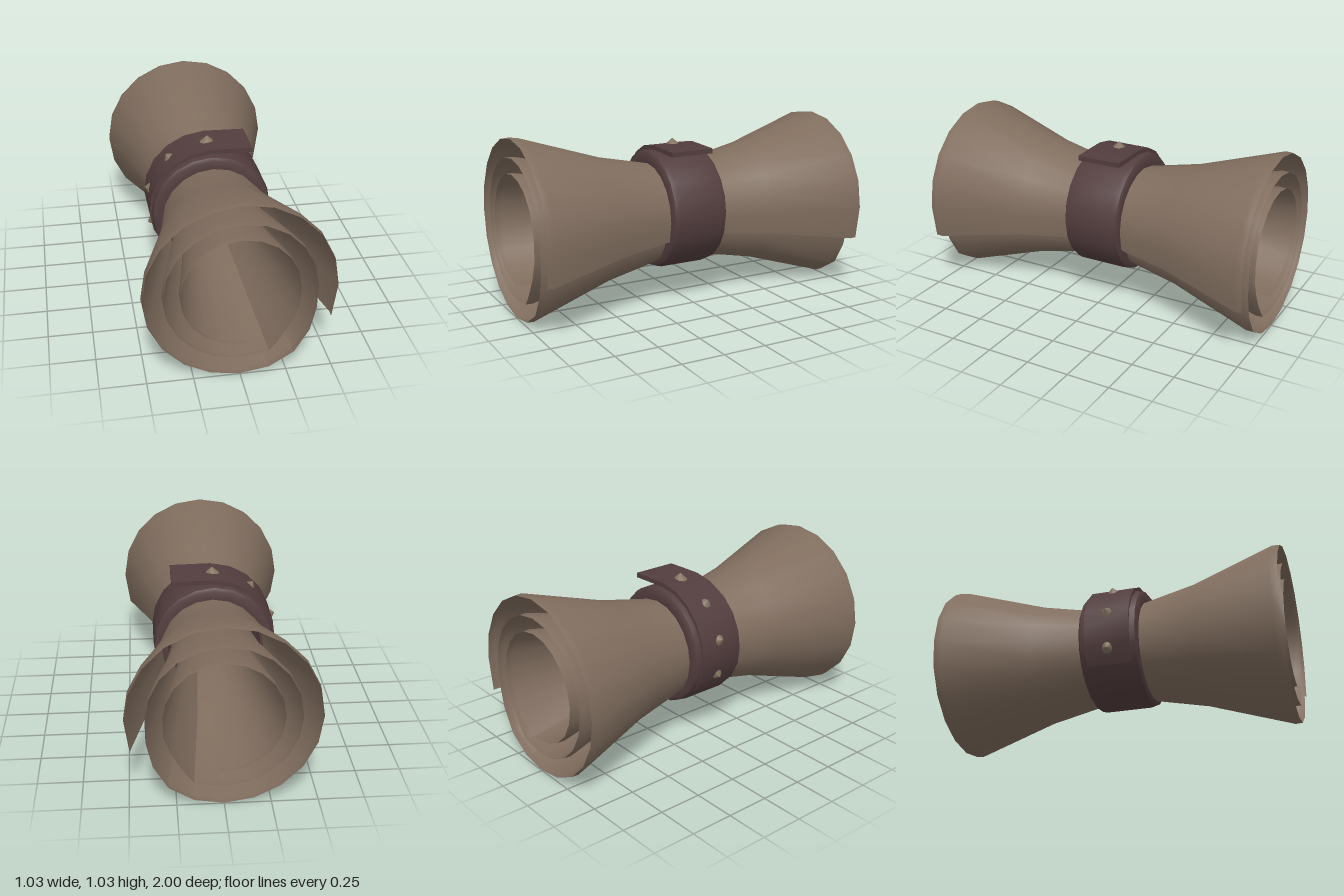
import * as THREE from 'three';
import { toCreasedNormals } from 'three/addons/utils/BufferGeometryUtils.js';

const hide = new THREE.MeshStandardMaterial({ color: 0x806d5e, side: THREE.DoubleSide });
hide.name = 'tan hide';
const leather = new THREE.MeshStandardMaterial({ color: 0x533d3e, side: THREE.DoubleSide });
leather.name = 'dark leather';
const metal = new THREE.MeshStandardMaterial({ color: 0x82725f });
metal.name = 'dull stud';

const rad = THREE.MathUtils.degToRad;

function addMesh(parent, name, geometry, material) {
  const mesh = new THREE.Mesh(geometry, material);
  mesh.name = name;
  parent.add(mesh);
  return mesh;
}

// Spiral cross-section of the rolled sheet: [angle in degrees, radius]
function spiral() {
  const pts = [[-22, 0.523]];
  const arc = (turn, last, r) => {
    for (let a = 0; a <= last; a += 18) pts.push([turn * 360 + a, r]);
  };
  arc(0, 288, 0.513);
  pts.push([306, 0.5], [324, 0.46], [342, 0.425]);
  arc(1, 270, 0.406);
  pts.push([652, 0.413], [666, 0.37], [684, 0.34], [702, 0.328]);
  arc(2, 270, 0.316);
  pts.push([996, 0.317]);
  return pts;
}

// Sheet swept along z, pinched in the middle
function sheetGeometry() {
  const half = [[1, 0.995], [0.96, 1], [0.48, 0.7], [0.17, 0.573]];
  const rows = [...half.map(([z, s]) => [-z, s]), [0, 0.537], ...half.slice().reverse()];
  const section = spiral();
  const n = section.length;
  const positions = [];
  const index = [];
  rows.forEach(([z, s], j) => {
    section.forEach(([a, r], i) => {
      positions.push(r * s * Math.cos(rad(a)), 0.515 + r * s * Math.sin(rad(a)), z);
      if (j < rows.length - 1 && i < n - 1) {
        const k = j * n + i;
        index.push(k, k + 1, k + n + 1, k, k + n + 1, k + n);
      }
    });
  });
  const g = new THREE.BufferGeometry();
  g.setAttribute('position', new THREE.Float32BufferAttribute(positions, 3));
  g.setIndex(index);
  return toCreasedNormals(g, rad(29));
}

// Closed ring with rounded edges
function bandGeometry() {
  const profile = [
    [0.27, -0.17], [0.325, -0.175], [0.343, -0.163], [0.35, -0.135],
    [0.35, 0.135], [0.343, 0.163], [0.325, 0.175], [0.27, 0.17], [0.27, -0.17],
  ].map(([r, z]) => new THREE.Vector2(r, z));
  const g = new THREE.LatheGeometry(profile, 20);
  g.rotateX(Math.PI / 2);
  return toCreasedNormals(g, rad(40));
}

// Overlapping strap end: follows the ring, then sticks out straight
function flapGeometry() {
  const outer = [];
  const inner = [];
  for (let a = 216; a >= 90; a -= 18) {
    const r = 0.353 + 0.024 * (216 - a) / 126;
    outer.push([r * Math.cos(rad(a)), r * Math.sin(rad(a))]);
    inner.push([(r - 0.026) * Math.cos(rad(a)), (r - 0.026) * Math.sin(rad(a))]);
  }
  outer.push([0.24, 0.372]);
  inner.push([0.24, 0.344]);
  const shape = new THREE.Shape([...outer, ...inner.reverse()].map(([x, y]) => new THREE.Vector2(x, y)));
  const g = new THREE.ExtrudeGeometry(shape, { depth: 0.264, bevelEnabled: false });
  g.translate(0, 0, -0.132);
  return toCreasedNormals(g, rad(30));
}

export function createModel() {
  const model = new THREE.Group();
  model.name = 'rolledHide';
  addMesh(model, 'rolledSheet', sheetGeometry(), hide);

  const strap = new THREE.Group();
  strap.name = 'strap';
  strap.position.set(-0.008, 0.535, 0);
  model.add(strap);
  addMesh(strap, 'band', bandGeometry(), leather);
  addMesh(strap, 'flap', flapGeometry(), leather);

  // Pointed studs around one side of the strap
  const studGeometry = toCreasedNormals(new THREE.ConeGeometry(0.045, 0.04, 10), rad(40));
  [[90, 0.388], [128, 0.372], [164, 0.366], [200, 0.361]].forEach(([a, r]) => {
    const stud = addMesh(strap, 'stud', studGeometry, metal);
    stud.position.set(r * Math.cos(rad(a)), r * Math.sin(rad(a)), 0);
    stud.rotation.z = rad(a - 90);
  });
  return model;
}
